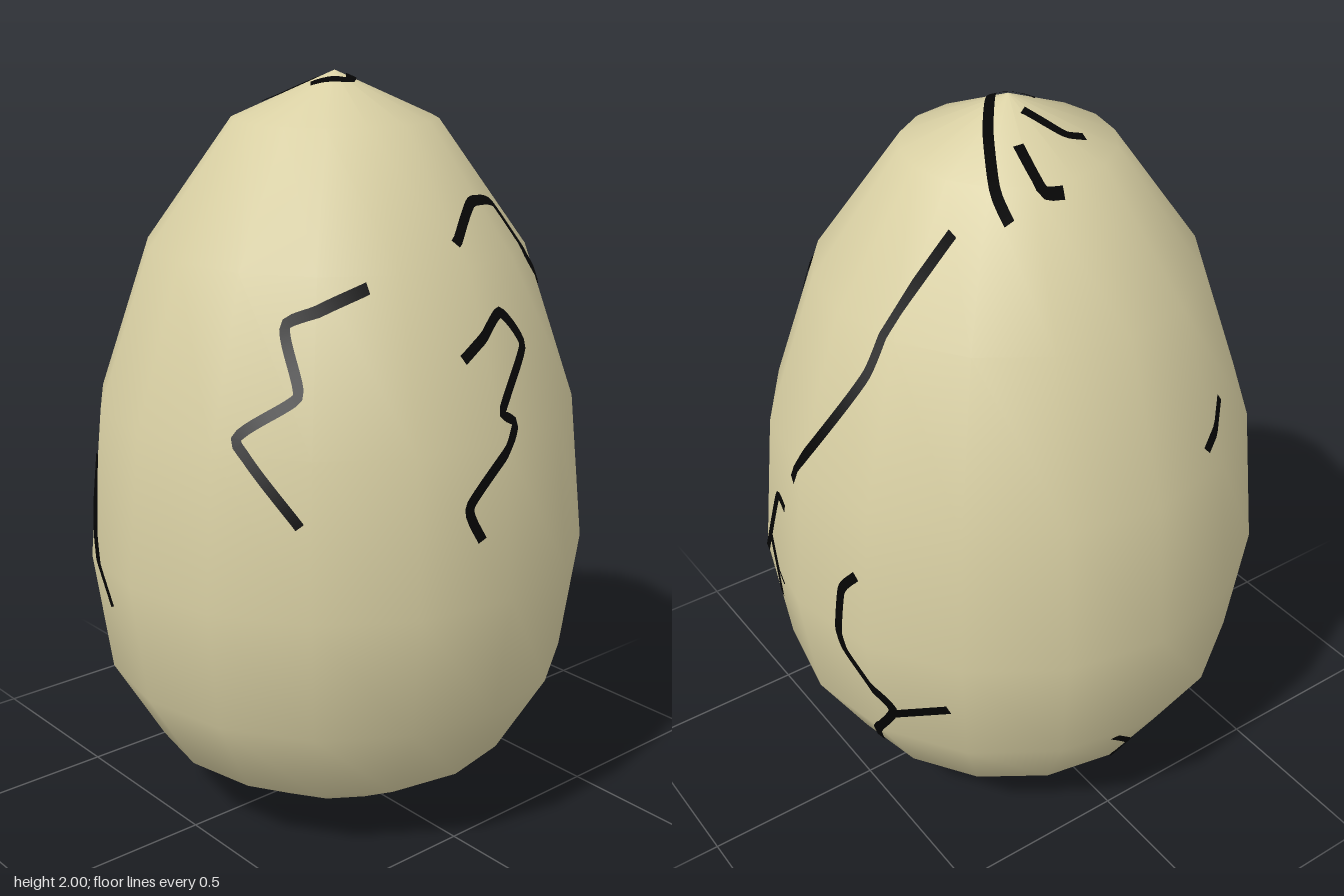
import * as THREE from 'three';

// Egg outline, bottom to top: [radius, height]
const PROFILE = [[0, 0], [0.27, 0.05], [0.5, 0.19], [0.635, 0.42], [0.68, 0.75], [0.64, 1.15], [0.5, 1.56], [0.27, 1.88], [0, 2]];
const CENTRE = new THREE.Vector3(0, 0.9, 0);
const CRACK_WIDTH = 0.026;

// How a flat crack path is placed inside the egg, and the way it is projected onto the shell
const alongZ = (u, v) => new THREE.Vector3(u, v, 0);
const alongX = (u, v) => new THREE.Vector3(0, v, u);
const alongY = (u, v) => new THREE.Vector3(u, CENTRE.y, v);
const SIDES = {
  front: { dir: new THREE.Vector3(0, 0, 1), place: alongZ },
  back: { dir: new THREE.Vector3(0, 0, -1), place: alongZ },
  left: { dir: new THREE.Vector3(1, 0, 0), place: alongX },
  right: { dir: new THREE.Vector3(-1, 0, 0), place: alongX },
  top: { dir: new THREE.Vector3(0, 1, 0), place: alongY },
  bottom: { dir: new THREE.Vector3(0, -1, 0), place: alongY },
};

// Outward face planes of the convex shell
function facePlanes(geometry) {
  const pos = geometry.attributes.position, index = geometry.index, planes = [];
  for (let i = 0; i < index.count; i += 3) {
    const [a, b, c] = [0, 1, 2].map(k => new THREE.Vector3().fromBufferAttribute(pos, index.getX(i + k)));
    if (new THREE.Triangle(a, b, c).getArea() < 1e-6) continue;
    const plane = new THREE.Plane().setFromCoplanarPoints(a, b, c);
    if (plane.distanceToPoint(CENTRE) > 0) plane.negate();
    planes.push(plane);
  }
  return planes;
}

// Where a ray from inside leaves the shell
function exitPoint(planes, origin, dir) {
  let t = Infinity;
  for (const p of planes) {
    const slope = p.normal.dot(dir);
    if (slope > 1e-6) t = Math.min(t, -p.distanceToPoint(origin) / slope);
  }
  return origin.clone().addScaledVector(dir, t);
}

// Thin ribbon that follows the shell along a gently rounded path
function crackGeometry(planes, side, path) {
  const { dir, place } = SIDES[side];
  const curve = new THREE.CatmullRomCurve3(path.map(([u, v]) => place(u, v)), false, 'catmullrom', 0.25);
  const line = curve.getSpacedPoints(Math.ceil(curve.getLength() / 0.015)).map(p => exitPoint(planes, p, dir));
  const positions = [], normals = [], indices = [];
  line.forEach((p, i) => {
    const tangent = line[Math.min(i + 1, line.length - 1)].clone().sub(line[Math.max(i - 1, 0)]);
    const out = p.clone().sub(CENTRE).normalize();
    const across = new THREE.Vector3().crossVectors(out, tangent).normalize();
    for (const s of [-0.5, 0.5]) {
      const ray = p.clone().addScaledVector(across, s * CRACK_WIDTH).sub(CENTRE).normalize();
      const q = exitPoint(planes, CENTRE, ray).addScaledVector(ray, 0.005);
      positions.push(q.x, q.y, q.z);
      normals.push(out.x, out.y, out.z);
    }
    if (i > 0) {
      const a = 2 * i - 2;
      indices.push(a, a + 2, a + 1, a + 1, a + 2, a + 3);
    }
  });
  const geometry = new THREE.BufferGeometry();
  geometry.setAttribute('position', new THREE.Float32BufferAttribute(positions, 3));
  geometry.setAttribute('normal', new THREE.Float32BufferAttribute(normals, 3));
  geometry.setIndex(indices);
  return geometry;
}

export function createModel() {
  const group = new THREE.Group();
  group.name = 'crackedEgg';
  const shellMaterial = new THREE.MeshStandardMaterial({ color: 0xd8cfa3 });
  shellMaterial.name = 'cream shell';
  const crackMaterial = new THREE.MeshStandardMaterial({ color: 0x050505, side: THREE.DoubleSide });
  crackMaterial.name = 'black crack';

  // Sixteen-sided shell with smooth shading
  const shellGeometry = new THREE.LatheGeometry(PROFILE.map(([r, y]) => new THREE.Vector2(r, y)), 16);
  const shell = new THREE.Mesh(shellGeometry, shellMaterial);
  shell.name = 'shell';
  group.add(shell);

  const planes = facePlanes(shellGeometry);
  const addCrack = (name, side, ...path) => {
    const crack = new THREE.Mesh(crackGeometry(planes, side, path), crackMaterial);
    crack.name = name;
    group.add(crack);
  };

  // Front cracks, paths in x and y
  addCrack('browCrack', 'front', [-0.01, 1.61], [0.12, 1.69], [0.24, 1.67], [0.3, 1.55], [0.41, 1.44]);
  addCrack('frontCrack', 'front', [-0.07, 1.35], [0.08, 1.44], [0.15, 1.35], [0.01, 1.22], [0.05, 1.18], [-0.11, 1.01], [-0.08, 0.92]);
  addCrack('cornerCrack', 'front', [-0.26, 1.53], [-0.42, 1.45], [-0.44, 1.29], [-0.55, 1.18], [-0.48, 0.99]);

  // Left cracks, paths in z and y
  addCrack('upperLeftCrack', 'left', [-0.18, 1.78], [-0.14, 1.46], [0.04, 1.1]);
  addCrack('forkCrack', 'left', [0.1, 0.97], [0.16, 0.97], [0.24, 0.75]);
  addCrack('forkBranch', 'left', [0.22, 0.82], [0.12, 0.71]);
  addCrack('forkTail', 'left', [0.16, 0.75], [0.21, 0.6]);
  addCrack('lowerLeftCrack', 'left', [-0.22, 0.95], [-0.17, 0.88], [-0.17, 0.69], [-0.29, 0.52], [-0.08, 0.21]);
  addCrack('lowerLeftBranch', 'left', [-0.29, 0.51], [-0.43, 0.59]);

  // Right crack, path in z and y
  addCrack('rightCrack', 'right', [-0.25, 1.03], [-0.23, 0.82], [-0.15, 0.64]);

  // Back cracks, paths in x and y
  addCrack('backDash', 'back', [-0.19, 1.21], [-0.29, 1.29]);
  addCrack('backCrack', 'back', [0.08, 0.4], [-0.01, 0.3], [0, 0.21], [-0.1, 0.15]);

  // Top and bottom cracks, paths in x and z
  addCrack('topBackCrack', 'top', [0.04, -0.28], [0.09, -0.26], [0.07, -0.14]);
  addCrack('topRightCrack', 'top', [-0.11, -0.16], [-0.06, -0.15], [0, -0.06]);
  addCrack('topHookCrack', 'top', [-0.08, 0], [0, 0.06], [0.1, -0.06], [0.18, -0.2], [0.18, -0.26]);
  addCrack('bottomCrack', 'bottom', [0.05, 0.03], [0.17, 0.13]);
  return group;
}
